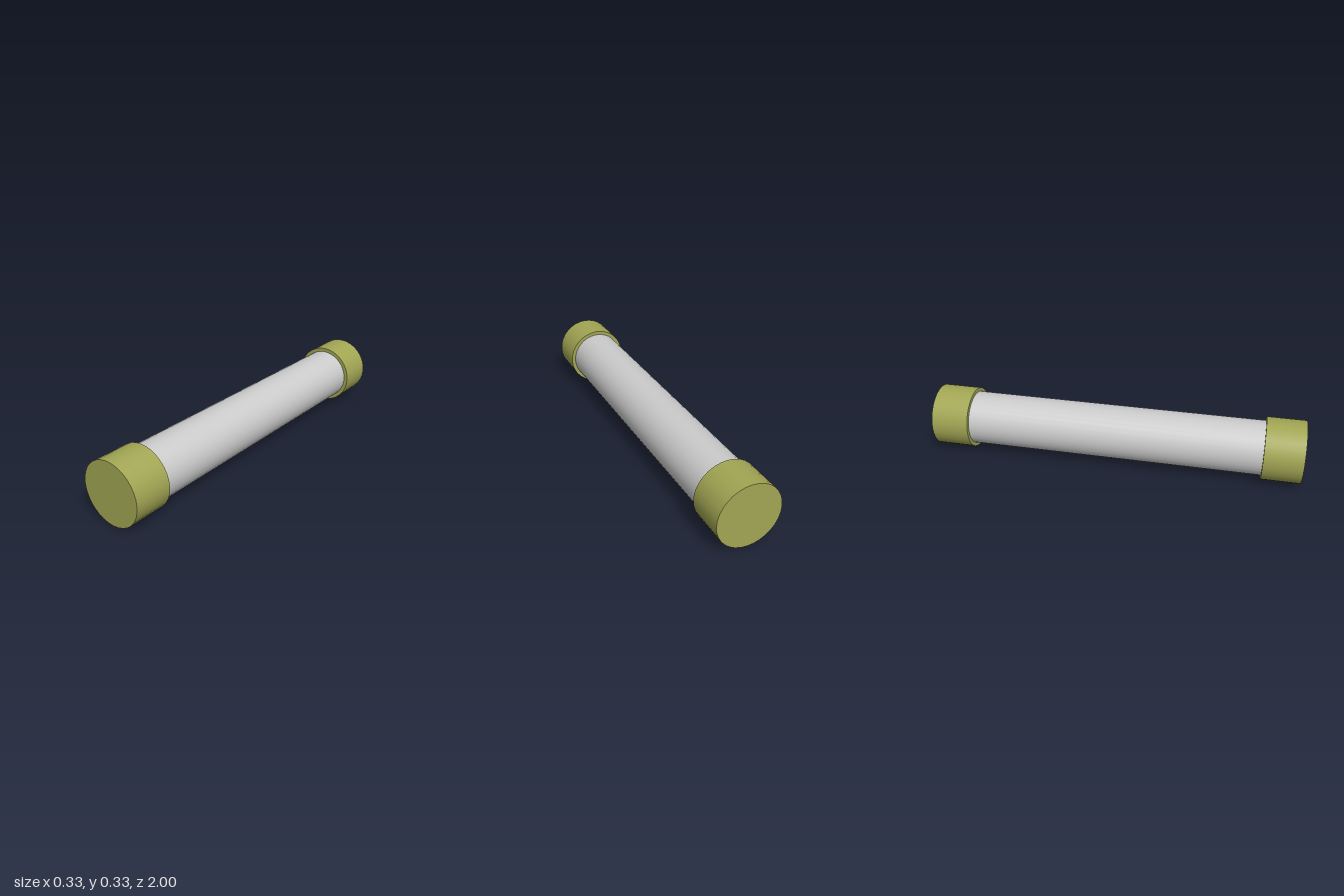
import * as THREE from 'three';

const RADIUS = 0.167, CAP_LENGTH = 0.205, TUBE_RADIUS = 0.146, SIDES = 32;

// Cylinder lying along z, resting at the height of the caps' axis
function rod(name, radius, length, z, material) {
  const geometry = new THREE.CylinderGeometry(radius, radius, length, SIDES);
  geometry.rotateX(Math.PI / 2);
  const mesh = new THREE.Mesh(geometry, material);
  mesh.name = name;
  mesh.position.set(0, RADIUS, z);
  return mesh;
}

export function createModel() {
  const model = new THREE.Group();
  model.name = 'cappedTube';
  const grey = new THREE.MeshStandardMaterial({ color: 0xcccccc });
  const olive = new THREE.MeshStandardMaterial({ color: 0xa2a653 });

  // Central tube, seated a little way into both caps
  model.add(rod('tube', TUBE_RADIUS, 2 - 2 * CAP_LENGTH + 0.02, 0, grey));

  // Wider end caps
  for (const [name, side] of [['frontCap', 1], ['backCap', -1]]) {
    model.add(rod(name, RADIUS, CAP_LENGTH, side * (1 - CAP_LENGTH / 2), olive));
  }
  return model;
}
